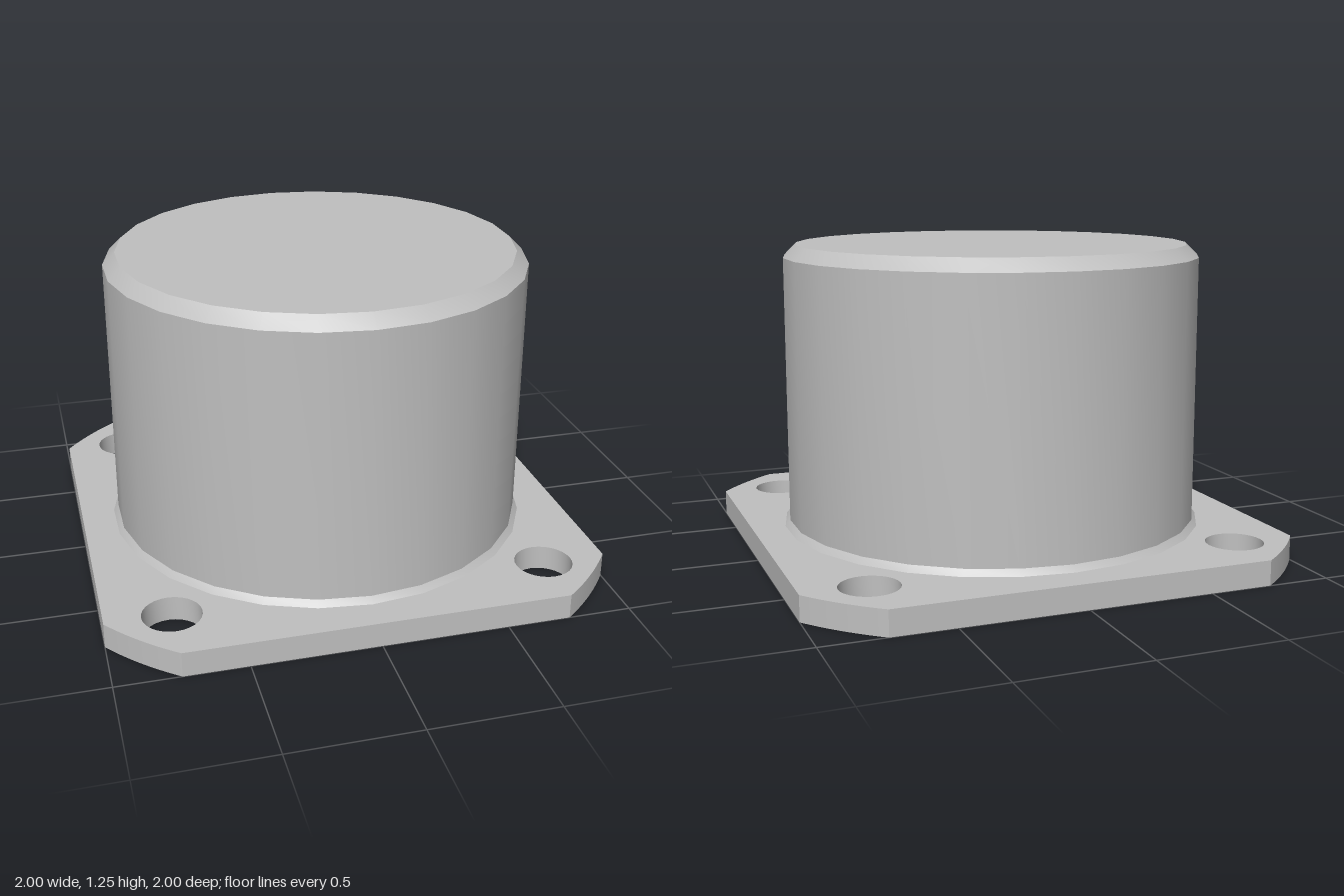
import * as THREE from 'three';
import { toCreasedNormals } from 'three/addons/utils/BufferGeometryUtils.js';

const SIDES = 26;
const BORE = 0.75;
const PLATE_TOP = 0.1;

export function createModel() {
  const group = new THREE.Group();
  group.name = 'flangedCap';
  const metal = new THREE.MeshStandardMaterial({ color: 0xc0c0c0 });
  metal.name = 'grey metal';

  const add = (name, geometry) => {
    const mesh = new THREE.Mesh(toCreasedNormals(geometry, 0.5), metal);
    mesh.name = name;
    group.add(mesh);
  };

  // Square flange with corners rounded about the centre
  const outline = new THREE.Shape();
  const start = Math.atan2(0.75, 1);
  for (let i = 0; i < 4; i++) {
    const quarter = i * Math.PI / 2;
    outline.absarc(0, 0, 1.25, quarter + start, quarter + Math.PI / 2 - start, false);
  }
  outline.closePath();

  // Central bore, matching the sides of the cup
  const bore = [];
  for (let i = 0; i < SIDES; i++) {
    const a = i / SIDES * Math.PI * 2;
    bore.push(new THREE.Vector2(BORE * Math.sin(a), BORE * Math.cos(a)));
  }
  outline.holes.push(new THREE.Path(bore));

  // Bolt holes
  for (const x of [-0.745, 0.745]) {
    for (const y of [-0.745, 0.745]) {
      outline.holes.push(new THREE.Path().absarc(x, y, 0.115, 0, Math.PI * 2, true));
    }
  }
  const plate = new THREE.ExtrudeGeometry(outline, {
    depth: PLATE_TOP, bevelEnabled: false, curveSegments: 14,
  });
  plate.rotateX(-Math.PI / 2);
  add('flange', plate);

  // Hollow cup: fillet, outer wall, chamfer, top, then the inside
  const profile = [
    [0.87, PLATE_TOP], [0.85, 0.125], [0.85, 1.2], [0.8, 1.25], [0, 1.25],
    [0, 1.15], [BORE, 1.15], [BORE, PLATE_TOP],
  ].map(([r, y]) => new THREE.Vector2(r, y));
  add('cup', new THREE.LatheGeometry(profile, SIDES));

  return group;
}
